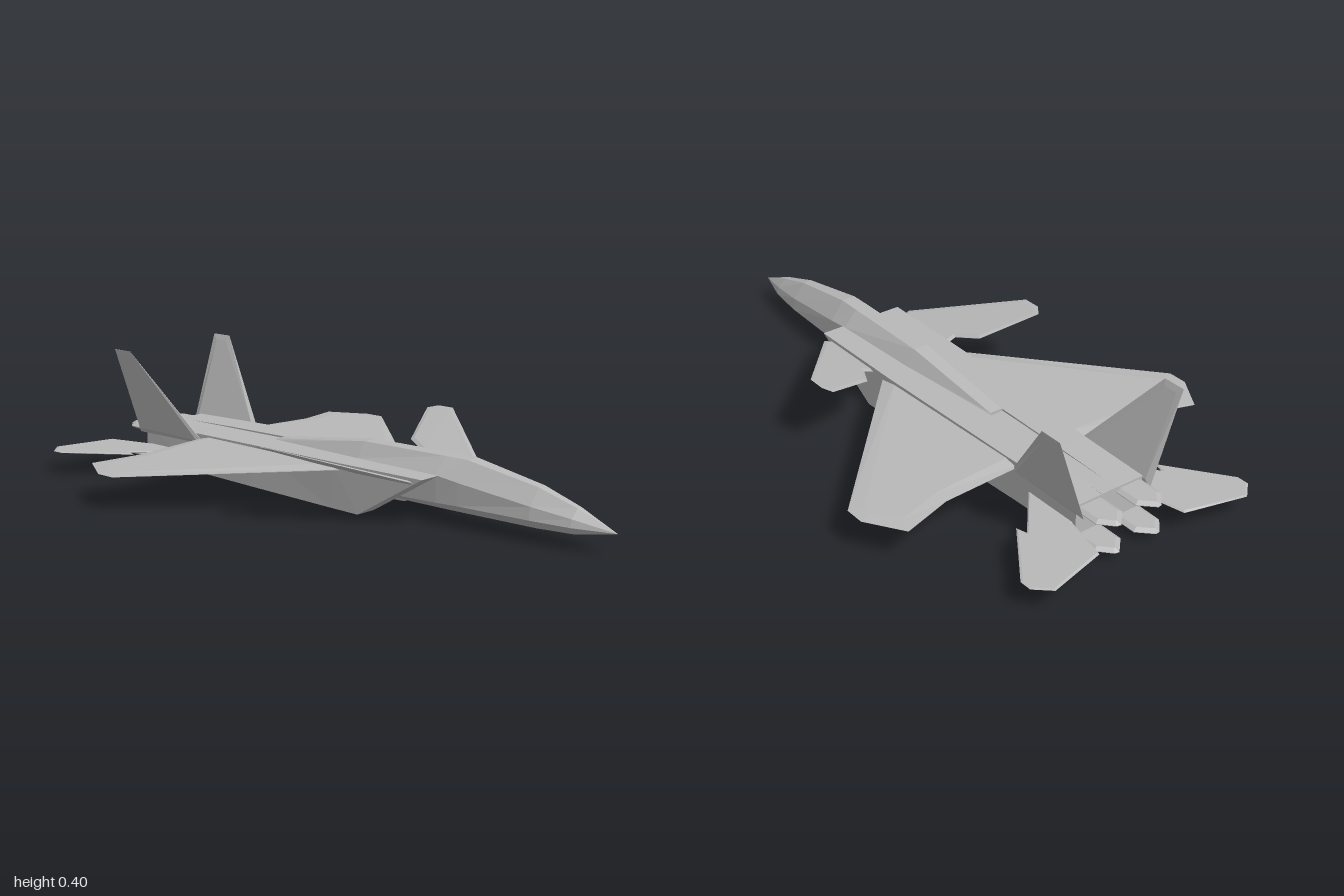
import * as THREE from 'three';

const grey = new THREE.MeshStandardMaterial({ color: 0xb8b8b8, flatShading: true });
grey.name = 'airframe grey';

// Skin over rings of [x, y, z], ordered front to back, each anticlockwise seen from the front
function loft(name, rings, side = 1) {
  const pos = [];
  const n = rings[0].length;
  const tri = (a, b, c) => {
    const [p, q, r] = (side > 0 ? [a, b, c] : [a, c, b]).map(v => new THREE.Vector3(v[0] * side, v[1], v[2]));
    if (q.clone().sub(p).cross(r.clone().sub(p)).length() < 1e-9) return;
    for (const v of [p, q, r]) pos.push(v.x, v.y, v.z);
  };
  for (let i = 0; i < rings.length - 1; i++) {
    for (let j = 0; j < n; j++) {
      const k = (j + 1) % n;
      tri(rings[i][j], rings[i + 1][j], rings[i + 1][k]);
      tri(rings[i][j], rings[i + 1][k], rings[i][k]);
    }
  }
  const first = rings[0], last = rings[rings.length - 1];
  for (let j = 1; j < n - 1; j++) {
    tri(first[0], first[j], first[j + 1]);
    tri(last[0], last[j + 1], last[j]);
  }
  const geo = new THREE.BufferGeometry();
  geo.setAttribute('position', new THREE.Float32BufferAttribute(pos, 3));
  geo.computeVertexNormals();
  const mesh = new THREE.Mesh(geo, grey);
  mesh.name = name;
  return mesh;
}

// Bevelled aerofoil plate: outline of [span, z], thickness tapering from root to tip
function plate(name, outline, { x, y, angle = 0, root, tip, bevel }, side) {
  const shape = new THREE.Shape(outline.map(([s, z]) => new THREE.Vector2(s * side, -z)));
  const geo = new THREE.ExtrudeGeometry(shape, {
    depth: 0.1, steps: 1, bevelEnabled: true, bevelSegments: 1,
    bevelThickness: 0.45, bevelSize: bevel, bevelOffset: -bevel,
  });
  geo.translate(0, 0, -0.05);
  geo.rotateX(-Math.PI / 2);
  const span = Math.max(...outline.map(p => p[0]));
  const p = geo.attributes.position;
  for (let i = 0; i < p.count; i++) {
    const t = THREE.MathUtils.clamp(Math.abs(p.getX(i)) / span, 0, 1);
    p.setY(i, p.getY(i) * THREE.MathUtils.lerp(root, tip, t));
  }
  geo.rotateZ(angle * side);
  geo.translate(x * side, y, 0);
  geo.computeVertexNormals();
  const mesh = new THREE.Mesh(geo, grey);
  mesh.name = name;
  return mesh;
}

// Eight-sided fuselage section: spine, shoulder, chine and belly half widths and heights
function section(z, spineX, spineY, shoulderX, shoulderY, chineX, chineY, bellyX, bellyY) {
  const half = [[bellyX, bellyY], [chineX, chineY], [shoulderX, shoulderY], [spineX, spineY]];
  return [
    ...half.map(([x, y]) => [x, y, z]),
    ...half.reverse().map(([x, y]) => [-x, y, z]),
  ];
}

export function createModel() {
  const model = new THREE.Group();
  model.name = 'jetAircraft';

  // Nose, canopy line and tapering spine
  model.add(loft('fuselage', [
    section(0.99, 0, 0.062, 0, 0.062, 0, 0.062, 0, 0.062),
    section(0.86, 0.010, 0.115, 0.036, 0.088, 0.042, 0.064, 0.016, 0.040),
    section(0.73, 0.016, 0.155, 0.054, 0.105, 0.060, 0.066, 0.022, 0.036),
    section(0.48, 0.024, 0.197, 0.069, 0.136, 0.070, 0.066, 0.025, 0.036),
    section(0.40, 0.025, 0.197, 0.072, 0.147, 0.072, 0.064, 0.025, 0.036),
    section(0.08, 0.025, 0.195, 0.058, 0.147, 0.062, 0.055, 0.025, 0.038),
    section(-0.30, 0.022, 0.148, 0.028, 0.142, 0.028, 0.060, 0.025, 0.040),
  ]));

  // Flat deck between the engines
  const deck = new THREE.Mesh(new THREE.BoxGeometry(0.06, 0.102, 0.96), grey);
  deck.name = 'centreDeck';
  deck.position.set(0, 0.088, -0.33);
  model.add(deck);

  for (const side of [1, -1]) {
    const label = side > 0 ? 'left' : 'right';

    // Raked intake running back into the engine housing
    model.add(loft(label + 'Engine', [
      [[0.072, 0, 0.16], [0.148, 0, 0.16], [0.148, 0.147, 0.41], [0.072, 0.147, 0.41]],
      [[0.060, 0.002, 0.05], [0.146, 0.002, 0.05], [0.146, 0.147, 0.05], [0.045, 0.147, 0.05]],
      [[0.025, 0.009, -0.30], [0.137, 0.009, -0.30], [0.134, 0.145, -0.30], [0.025, 0.145, -0.30]],
      [[0.025, 0.014, -0.56], [0.127, 0.014, -0.56], [0.125, 0.143, -0.56], [0.025, 0.143, -0.56]],
      [[0.025, 0.020, -0.81], [0.125, 0.020, -0.81], [0.125, 0.138, -0.81], [0.025, 0.138, -0.81]],
    ], side));

    // Exhaust paddles above and below each nozzle
    for (const [name, y] of [['UpperPaddle', 0.122], ['LowerPaddle', 0.030]]) {
      model.add(plate(label + name,
        [[0.025, -0.76], [0.125, -0.76], [0.123, -0.89], [0.085, -0.932], [0.07, -0.935], [0.025, -0.89]],
        { x: 0, y, root: 0.018, tip: 0.018, bevel: 0.014 }, side));
    }

    // Main wing
    model.add(plate(label + 'Wing',
      [[-0.05, 0.14], [0.02, 0.09], [0.5, -0.41], [0.5, -0.475], [0.425, -0.595], [0.26, -0.55], [-0.05, -0.55]],
      { x: 0.12, y: 0.127, angle: -0.038, root: 0.022, tip: 0.004, bevel: 0.045 }, side));

    // Upswept foreplane
    model.add(plate(label + 'Foreplane',
      [[-0.02, 0.375], [0.023, 0.375], [0.29, 0.07], [0.29, 0.01], [0.268, -0.02], [0.077, 0.06], [0.034, 0.135], [-0.02, 0.135]],
      { x: 0.148, y: 0.132, angle: 0.354, root: 0.010, tip: 0.003, bevel: 0.012 }, side));

    // Notched tailplane
    model.add(plate(label + 'Tailplane',
      [[-0.02, -0.575], [0.135, -0.755], [0.145, -0.72], [0.29, -0.915], [0.29, -0.955], [0.24, -1.0], [0.04, -0.95], [0.005, -0.80], [-0.02, -0.80]],
      { x: 0.12, y: 0.072, root: 0.009, tip: 0.004, bevel: 0.007 }, side));

    // Outward leaning tail fin
    model.add(plate(label + 'Fin',
      [[-0.02, -0.53], [0.291, -0.77], [0.291, -0.845], [-0.02, -0.842]],
      { x: 0.131, y: 0.13, angle: 1.235, root: 0.016, tip: 0.004, bevel: 0.02 }, side));
  }
  return model;
}
